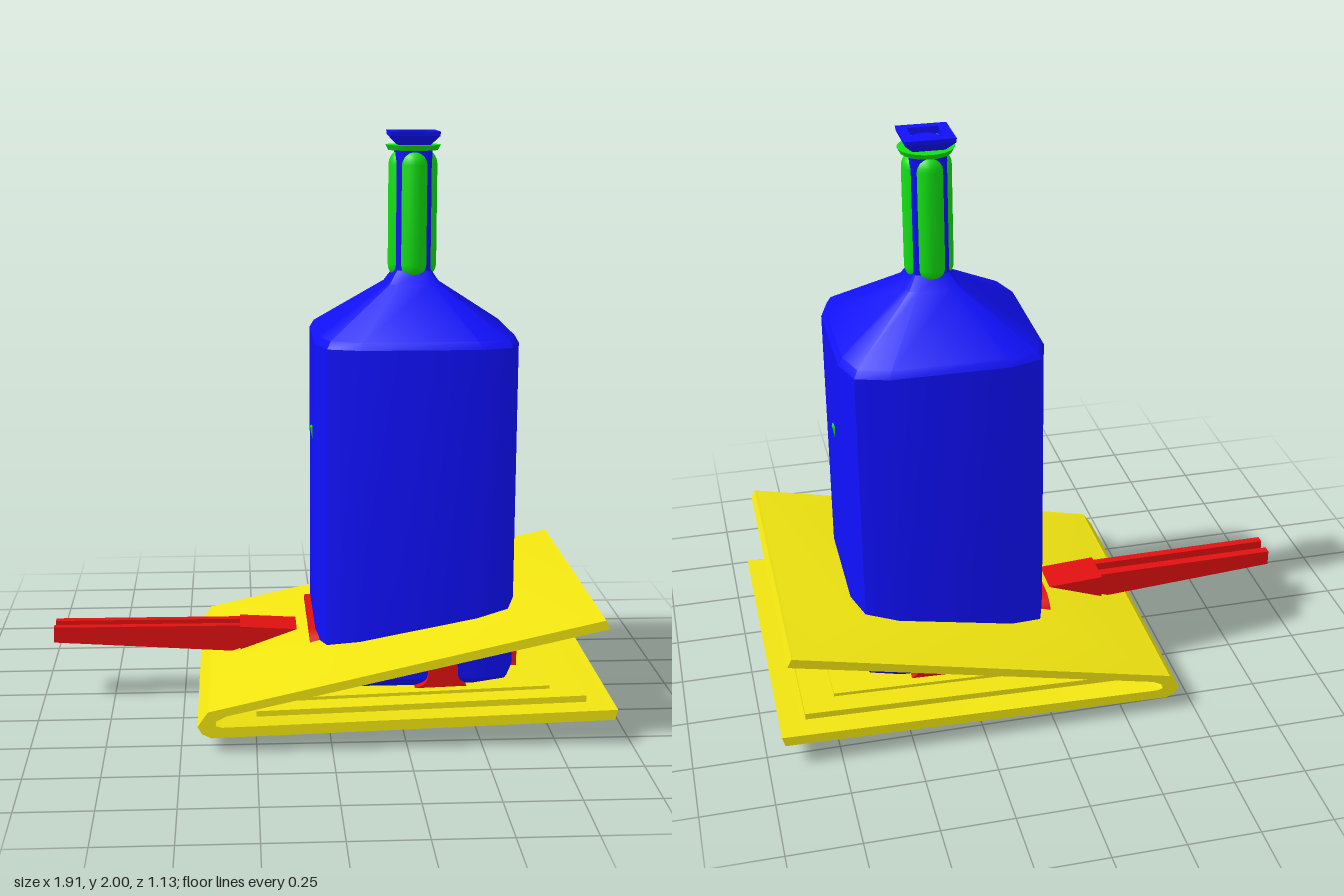
import * as THREE from 'three';
import { toCreasedNormals } from 'three/addons/utils/BufferGeometryUtils.js';

const BLUE = 0x1010ff, GREEN = 0x12e012, RED = 0xe01010, YELLOW = 0xf0e410, GREY = 0xcccccc;
const CX = 0.305; // bottle axis

export function createModel() {
  const model = new THREE.Group();

  function add(name, geometry, color, x = 0, y = 0, z = 0) {
    const material = new THREE.MeshStandardMaterial({ color });
    const mesh = new THREE.Mesh(toCreasedNormals(geometry, 0.5), material);
    mesh.name = name;
    mesh.position.set(x, y, z);
    model.add(mesh);
    return mesh;
  }

  // Closed solid through rings of [x, y, z] points, bottom to top, each running from +x towards +z
  function loft(rings) {
    const n = rings[0].length, pos = rings.flat(2), index = [];
    for (let r = 0; r < rings.length - 1; r++) {
      for (let i = 0; i < n; i++) {
        const a = r * n + i, b = r * n + (i + 1) % n;
        index.push(a, a + n, b, b, a + n, b + n);
      }
    }
    const top = (rings.length - 1) * n;
    for (let i = 1; i < n - 1; i++) {
      index.push(0, i, i + 1, top, top + i + 1, top + i);
    }
    const g = new THREE.BufferGeometry();
    g.setAttribute('position', new THREE.Float32BufferAttribute(pos, 3));
    g.setIndex(index);
    g.computeVertexNormals();
    return g;
  }

  // Sloping rectangle used as a loft ring
  const rect = (x0, y0, x1, y1, z) => [[x1, y1, -z], [x1, y1, z], [x0, y0, z], [x0, y0, -z]];

  // Side profile in x-y extruded between two z values
  function slab(points, z0, z1) {
    const shape = new THREE.Shape(points.map(([x, y]) => new THREE.Vector2(x, y)));
    return new THREE.ExtrudeGeometry(shape, { depth: z1 - z0, bevelEnabled: false }).translate(0, 0, z0);
  }

  // Bottle body: a square with cut corners, scaled along its height
  const quarter = [[0.345, 0.2], [0.31, 0.31], [0.2, 0.345]];
  const section = [];
  for (let q = 0; q < 4; q++) {
    for (const [x, z] of quarter) {
      const c = [1, 0, -1, 0][q], s = [0, 1, 0, -1][q];
      section.push([x * c - z * s, x * s + z * c]);
    }
  }
  const bodyProfile = [[0.135, 0.96], [0.16, 1], [1.3, 1], [1.325, 0.96],
    [1.485, 0.27], [1.53, 0.18], [1.95, 0.18]];
  add('bottleBody', loft(bodyProfile.map(([y, k]) => section.map(([x, z]) => [CX + x * k, y, z * k]))), BLUE);

  // Neck: four rounded ribs around the core, with a collar
  for (let i = 0; i < 4; i++) {
    const a = i * Math.PI / 2;
    add('neckRib', new THREE.CapsuleGeometry(0.053, 0.34, 6, 16), GREEN,
      CX + 0.031 * Math.cos(a), 1.718, 0.031 * Math.sin(a));
  }
  add('neckCollar', new THREE.CylinderGeometry(0.095, 0.085, 0.018, 24), GREEN, CX, 1.945, 0);

  // Square flared lip with a recess
  const lip = [[1.95, 0.05], [1.985, 0.083], [2, 0.085], [2, 0.052], [1.97, 0.052]];
  add('lip', loft(lip.map(([y, h]) => rect(CX - h, y, CX + h, y, h))), BLUE);
  add('lipFloor', new THREE.BoxGeometry(0.1, 0.01, 0.1), GREEN, CX, 1.97, 0);
  add('mouth', new THREE.CylinderGeometry(0.05, 0.05, 0.008, 16), BLUE, CX, 1.977, 0);

  // Small pointed studs on both sides of the body
  for (const side of [-1, 1]) {
    const stud = add('stud', new THREE.ConeGeometry(0.021, 0.045, 8), GREEN, CX + side * 0.345, 0.955, 0);
    stud.rotation.x = Math.PI;
    stud.scale.x = 0.4;
  }

  // Folded plate: one V-shaped sheet with a rounded fold
  add('foldedPlate', slab([
    [0.94, 0.087], [-0.4, 0.05], [-0.43, 0.065], [-0.445, 0.09], [-0.41, 0.14], [0.9, 0.433],
    [0.915, 0.403], [-0.35, 0.125], [-0.383, 0.108], [-0.385, 0.092], [-0.365, 0.086], [0.95, 0.122],
  ], -0.565, 0.565), YELLOW);
  add('plateRise', loft([
    rect(-0.41, 0.139, 0.9, 0.432, 0.565),
    rect(-0.05, 0.268, 0.66, 0.405, 0.35),
  ]), YELLOW);
  add('plateBelly', loft([
    rect(0.05, 0, 0.55, 0.014, 0.22),
    rect(-0.1, 0.015, 0.62, 0.024, 0.32),
    rect(-0.4, 0.051, 0.94, 0.088, 0.565),
  ]), YELLOW);
  add('innerPanel', loft([
    rect(-0.25, 0.08, 0.86, 0.115, 0.48),
    rect(-0.25, 0.108, 0.86, 0.142, 0.48),
  ]), YELLOW);
  add('innerPanelStep', loft([
    rect(-0.15, 0.1, 0.75, 0.13, 0.4),
    rect(-0.15, 0.122, 0.75, 0.15, 0.4),
  ]), YELLOW);
  add('footBar', new THREE.BoxGeometry(0.16, 0.018, 0.65), GREY, 0.77, 0.054, 0);

  // Rounded clips around the foot of the bottle
  function clip(halfWidth, height, flare) {
    const s = new THREE.Shape();
    s.moveTo(-halfWidth - flare, 0);
    s.quadraticCurveTo(-halfWidth, 0.01, -halfWidth, height * 0.5);
    s.quadraticCurveTo(-halfWidth, height, -halfWidth * 0.6, height);
    s.lineTo(halfWidth * 0.6, height);
    s.quadraticCurveTo(halfWidth, height, halfWidth, height * 0.5);
    s.quadraticCurveTo(halfWidth, 0.01, halfWidth + flare, 0);
    return new THREE.ExtrudeGeometry(s, { depth: 0.04, bevelEnabled: false, curveSegments: 8 })
      .translate(0, 0, -0.02);
  }
  add('sideClip', clip(0.18, 0.135, 0.005), RED, 0.65, 0.145, 0).rotation.y = Math.PI / 2;
  add('handleClip', clip(0.26, 0.18, 0), RED, -0.04, 0.125, 0).rotation.y = Math.PI / 2;
  for (const side of [-1, 1]) add('smallClip', clip(0.05, 0.105, 0.05), RED, 0.39, 0.135, side * 0.345);

  // Handle: tapering channel with two rails and a thicker root
  const zc = -0.012;
  const rail = [[-0.96, 0.21], [-0.28, 0.165], [-0.28, 0.262], [-0.96, 0.265]];
  const floor = [[-0.955, 0.215], [-0.28, 0.168], [-0.28, 0.235], [-0.955, 0.235]];
  add('handleFloor', slab(floor, zc - 0.04, zc + 0.04), RED);
  for (const side of [-1, 1]) {
    add('handleRail', slab(rail, zc + side * 0.038 - 0.015, zc + side * 0.038 + 0.015), RED);
  }
  add('handleRoot', slab([[-0.3, 0.17], [-0.09, 0.152], [-0.09, 0.25], [-0.3, 0.263]], zc - 0.07, zc + 0.07), RED);

  return model;
}
